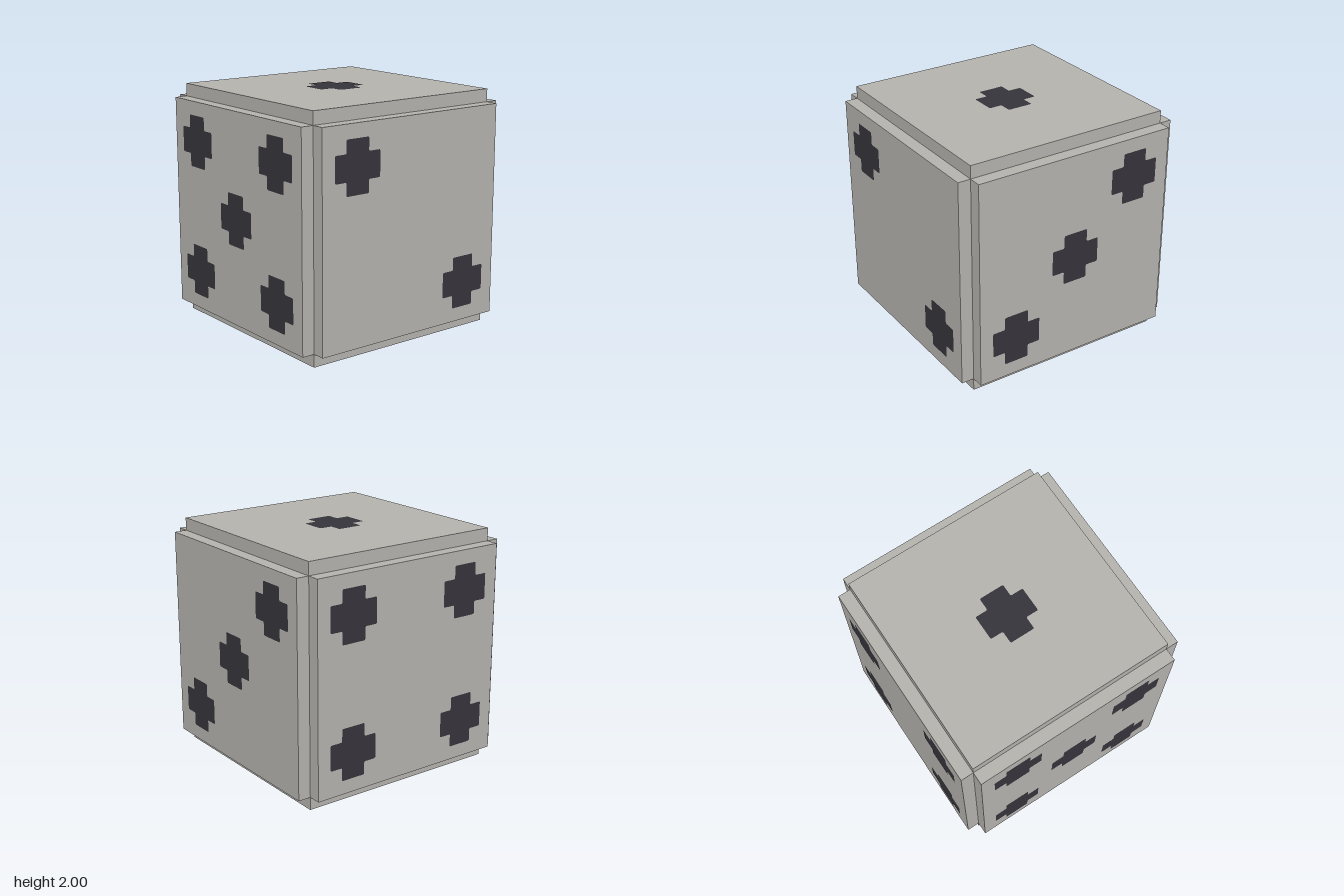
import * as THREE from 'three';

const INNER = 0.89;   // half size of the core and of each face panel
const OUTER = 0.998;  // distance of a panel's surface from the centre
const P = 0.556;      // offset of the outer pips

// Plus-shaped pip with slightly softened corners
function pipShape(h = 0.218, a = 0.108, c = 0.008) {
  const quarter = [[h, a - c], [h - c, a], [a + c, a], [a, a + c], [a, h - c], [a - c, h]];
  const points = [];
  for (let i = 0; i < 4; i++) {
    for (const [x, y] of quarter) {
      points.push(new THREE.Vector2(x, y).rotateAround(new THREE.Vector2(), i * Math.PI / 2));
    }
  }
  return new THREE.Shape(points);
}

export function createModel() {
  const stone = new THREE.MeshStandardMaterial({ color: 0xb4b2ad });
  stone.name = 'paleStone';
  const dark = new THREE.MeshStandardMaterial({ color: 0x36343b });
  dark.name = 'darkPip';

  const model = new THREE.Group();
  model.name = 'die';

  // Core cube that the raised panels sit on
  const core = new THREE.Mesh(new THREE.BoxGeometry(2 * INNER, 2 * INNER, 2 * INNER), stone);
  core.name = 'core';
  core.position.y = 1;
  model.add(core);

  const depth = OUTER - INNER;
  const panelGeometry = new THREE.BoxGeometry(2 * INNER, 2 * INNER, depth);
  const pipGeometry = new THREE.ShapeGeometry(pipShape());

  // Pip layouts in each face's own plane
  const middle = [[0, 0]];
  const falling = [[-P, P], [P, -P]];
  const rising = [[-P, -P], [P, P]];
  const sides = [[-P, 0], [P, 0]];
  const corners = [...falling, ...rising];

  const q = Math.PI / 2;
  const faces = [
    ['frontFace', 0, 0, falling],
    ['backFace', 0, 2 * q, corners],
    ['leftFace', 0, q, [...rising, ...middle]],
    ['rightFace', 0, -q, [...corners, ...middle]],
    ['topFace', -q, 0, middle],
    ['bottomFace', q, 0, [...corners, ...sides]],
  ];

  // Each face: a raised panel with its pips
  for (const [name, rx, ry, layout] of faces) {
    const face = new THREE.Group();
    face.name = name;
    face.position.y = 1;
    face.rotation.set(rx, ry, 0);

    const panel = new THREE.Mesh(panelGeometry, stone);
    panel.name = 'panel';
    panel.position.z = INNER + depth / 2;
    face.add(panel);

    for (const [x, y] of layout) {
      const pip = new THREE.Mesh(pipGeometry, dark);
      pip.name = 'pip';
      pip.position.set(x, y, 1);
      face.add(pip);
    }
    model.add(face);
  }
  return model;
}
